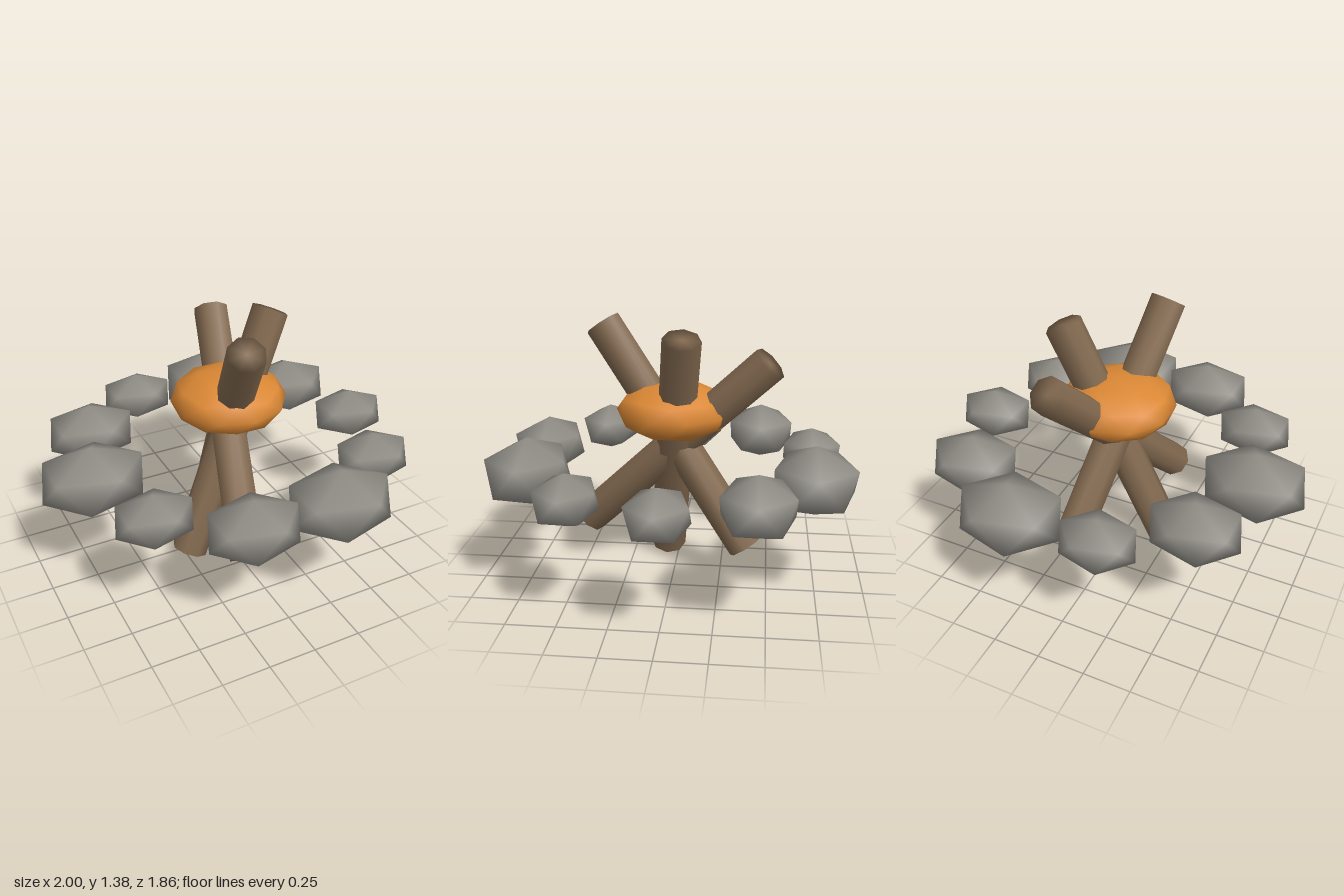
import * as THREE from 'three';
import { mergeVertices } from 'three/addons/utils/BufferGeometryUtils.js';

// Weld all corners so shading runs smoothly over the few facets
function smooth(geometry) {
  geometry.deleteAttribute('normal');
  geometry.deleteAttribute('uv');
  const welded = mergeVertices(geometry, 1e-4);
  welded.computeVertexNormals();
  return welded;
}

// Flattened icosphere standing on one of its points
function pebble(sx, sy, sz, detail) {
  const g = new THREE.IcosahedronGeometry(1, detail);
  g.rotateZ(-Math.atan(2 / (1 + Math.sqrt(5))));
  g.scale(sx, sy, sz);
  return smooth(g);
}

export function createModel() {
  const group = new THREE.Group();
  const stone = new THREE.MeshStandardMaterial({ color: 0x8f8c85 });
  stone.name = 'stone grey';
  const wood = new THREE.MeshStandardMaterial({ color: 0x836a50 });
  wood.name = 'wood brown';
  const glow = new THREE.MeshStandardMaterial({ color: 0xdb8835 });
  glow.name = 'ember orange';
  const centreX = 0.035;

  function add(name, geometry, material, x, y, z) {
    const mesh = new THREE.Mesh(geometry, material);
    mesh.name = name;
    mesh.position.set(x, y, z);
    group.add(mesh);
    return mesh;
  }

  // Ring of ten stones in three repeating sizes
  const sizes = [0.22, 0.26, 0.3];
  const stoneShapes = sizes.map((s) => pebble(s, s * 0.6, s * 0.8, 0));
  for (let i = 0; i < 10; i++) {
    const a = (i / 10) * Math.PI * 2;
    add('ringStone' + (i + 1), stoneShapes[i % 3], stone,
      centreX + 0.765 * Math.cos(a), 0.62, -0.765 * Math.sin(a));
  }

  // Three crossed logs, each from its bottom end to its top end
  const logs = [
    [[0.14, 0.195, -0.388], [-0.07, 1.33, 0.388]],
    [[-0.1, 0.232, 0.487], [0.17, 1.185, -0.487]],
    [[-0.235, 0.04, 0.062], [0.306, 1.317, -0.062]],
  ];
  const up = new THREE.Vector3(0, 1, 0);
  logs.forEach(([from, to], i) => {
    const a = new THREE.Vector3(...from);
    const b = new THREE.Vector3(...to);
    const dir = b.clone().sub(a);
    const shape = smooth(new THREE.CylinderGeometry(0.097, 0.097, dir.length(), 8));
    const mid = a.add(b).multiplyScalar(0.5);
    const log = add('log' + (i + 1), shape, wood, mid.x, mid.y, mid.z);
    log.quaternion.setFromUnitVectors(up, dir.normalize());
  });

  // Glowing ember where the logs cross
  add('ember', pebble(0.304, 0.15, 0.304, 1), glow, centreX, 0.9, 0);

  return group;
}
